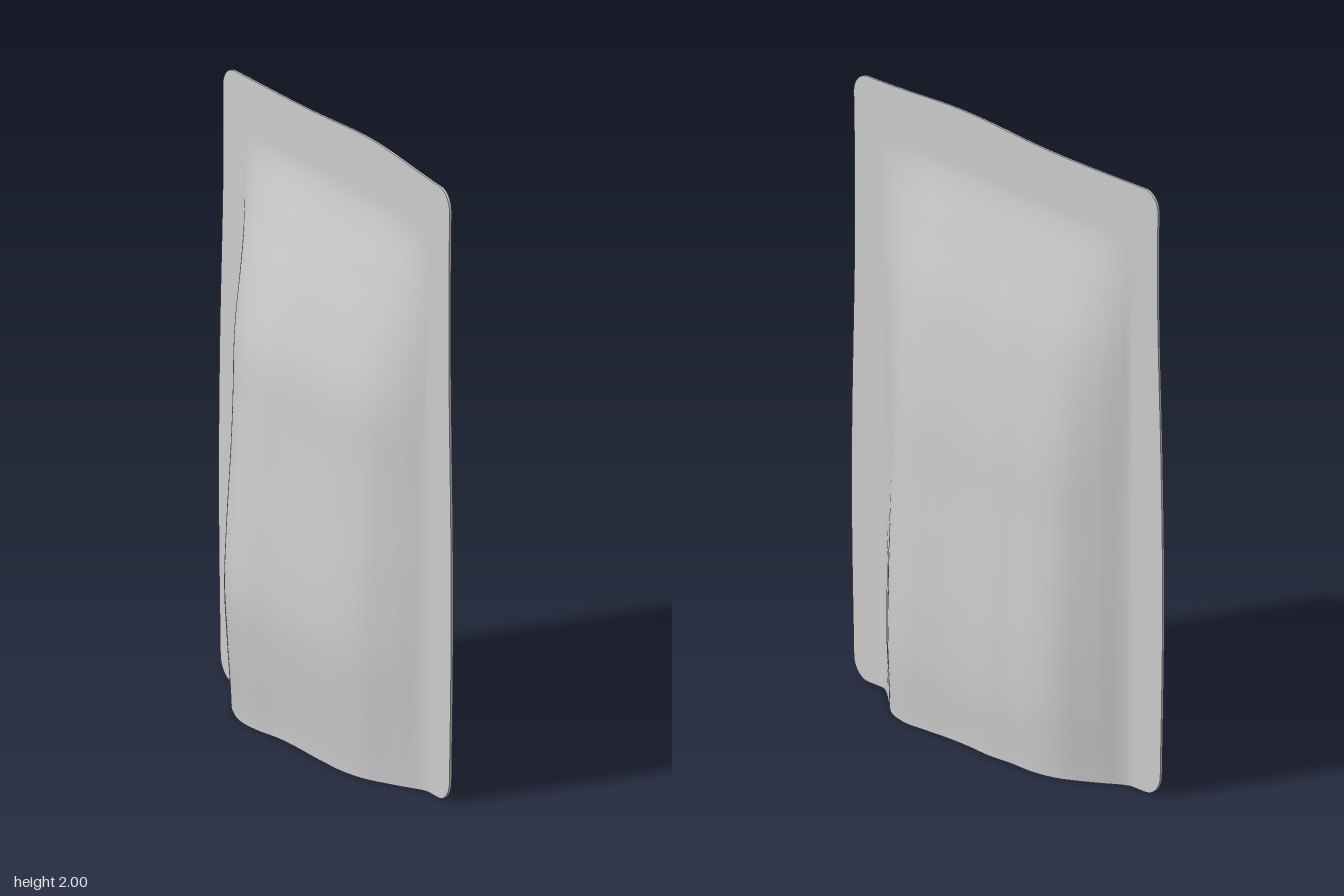
import * as THREE from 'three';

// Smooth curve through evenly spaced samples, f in 0..1
function sample(values, f) {
  const n = values.length - 1;
  const p = THREE.MathUtils.clamp(f, 0, 1) * n;
  const i = Math.min(Math.floor(p), n - 1), t = p - i;
  const a = values[Math.max(i - 1, 0)], b = values[i], c = values[i + 1], d = values[Math.min(i + 2, n)];
  return Math.max(0, b + 0.5 * t * (c - a + t * (2 * a - 5 * b + 4 * c - d + t * (3 * (b - c) + d - a))));
}

// Grid surface from a point rule p(u, v)
function surface(rule, nu, nv, flip) {
  const pos = [], index = [];
  for (let j = 0; j <= nv; j++)
    for (let i = 0; i <= nu; i++) pos.push(...rule(i / nu, j / nv));
  for (let j = 0; j < nv; j++)
    for (let i = 0; i < nu; i++) {
      const a = j * (nu + 1) + i, b = a + 1, c = a + nu + 1, d = c + 1;
      if (flip) index.push(a, c, b, b, c, d);
      else index.push(a, b, c, b, d, c);
    }
  const g = new THREE.BufferGeometry();
  g.setAttribute('position', new THREE.Float32BufferAttribute(pos, 3));
  g.setIndex(index);
  g.computeVertexNormals();
  return g;
}

const POCKET = 0.6, FILM = 0.004, CORNER = 0.07;

// Bulge of each wall: depth by height (0..2), and relative depth across z (-0.6..0.6)
const walls = {
  1: {
    depth: [0.158, 0.17, 0.168, 0.158, 0.146, 0.137, 0.117, 0.086, 0.04, 0, 0],
    across: [0, 0.42, 0.8, 0.94, 0.94, 0.98, 0.94, 0.93, 0.97, 1, 0.83, 0.39, 0],
  },
  '-1': {
    depth: [0.168, 0.187, 0.202, 0.192, 0.173, 0.155, 0.137, 0.095, 0.045, 0, 0],
    across: [0, 0.54, 0.84, 1, 0.99, 0.88, 0.84, 0.84, 0.83, 0.79, 0.64, 0.33, 0],
  },
};

// Point on a wall: s runs -1..1 across z, t runs 0..1 up, side is +1 or -1 in x
function wallPoint(s, t, side) {
  const y = 1 - Math.cos(Math.PI * t);
  // rounded corners and slightly wavy side edges
  const d = Math.min(y, 2 - y, CORNER);
  const half = 0.744 + 0.008 * Math.cos((y - 0.65) * 3.4)
    - CORNER + Math.sqrt(Math.max(0, CORNER ** 2 - (CORNER - d) ** 2));
  const a = Math.abs(s);
  const z = Math.sign(s) * (a <= 0.85 ? a / 0.85 * POCKET : POCKET + (a - 0.85) / 0.15 * (half - POCKET));
  // the top seal bows gently sideways
  const lean = THREE.MathUtils.smoothstep(y, 1.1, 1.9);
  const centre = 0.012 + lean * (0.018 * Math.cos(z * 2.1) + (z < 0 ? -0.012 * z : 0));
  const { depth, across } = walls[side];
  const fullness = 1 - 0.35 * THREE.MathUtils.smoothstep(y, 0.8, 1.6);
  const bulge = a < 0.85 ? sample(depth, y / 2) * sample(across, (z / POCKET + 1) / 2) ** fullness : 0;
  // low crest on the top edge
  const top = 1.978 + 0.022 * Math.exp(-(((z - 0.2) / 0.32) ** 2));
  return [centre + side * (FILM + bulge), y * (1 + (top / 2 - 1) * (y / 2) ** 4), z];
}

const mix = (a, b, v) => a.map((n, k) => n + (b[k] - n) * v);

export function createModel() {
  const group = new THREE.Group();
  group.name = 'pouch';
  const material = new THREE.MeshStandardMaterial({ color: 0xcccccc, side: THREE.DoubleSide });
  const add = (name, geometry) => {
    const mesh = new THREE.Mesh(geometry, material);
    mesh.name = name;
    group.add(mesh);
  };

  // Bulging walls with their flat seals
  add('leftWall', surface((u, v) => wallPoint(2 * u - 1, v, 1), 120, 80, true));
  add('rightWall', surface((u, v) => wallPoint(2 * u - 1, v, -1), 120, 80, false));

  // Thin rim: up one side, over the top, down the other
  add('sealRim', surface((u, v) => {
    const p = u * 3;
    const s = p < 1 ? 1 : p < 2 ? 1 - 2 * (p - 1) : -1;
    const t = p < 1 ? p : p < 2 ? 1 : 3 - p;
    return mix(wallPoint(s, t, -1), wallPoint(s, t, 1), v);
  }, 240, 1, true));

  // Bottom gusset folded up inside the pouch
  add('bottomGusset', surface((u, v) => {
    const s = 2 * u - 1;
    const p = mix(wallPoint(s, 0, -1), wallPoint(s, 0, 1), v);
    const rise = 0.25 * Math.max(0, 1 - (s / 0.85) ** 2);
    p[1] += rise * Math.sin(Math.PI * v);
    return p;
  }, 120, 20, true));

  return group;
}
